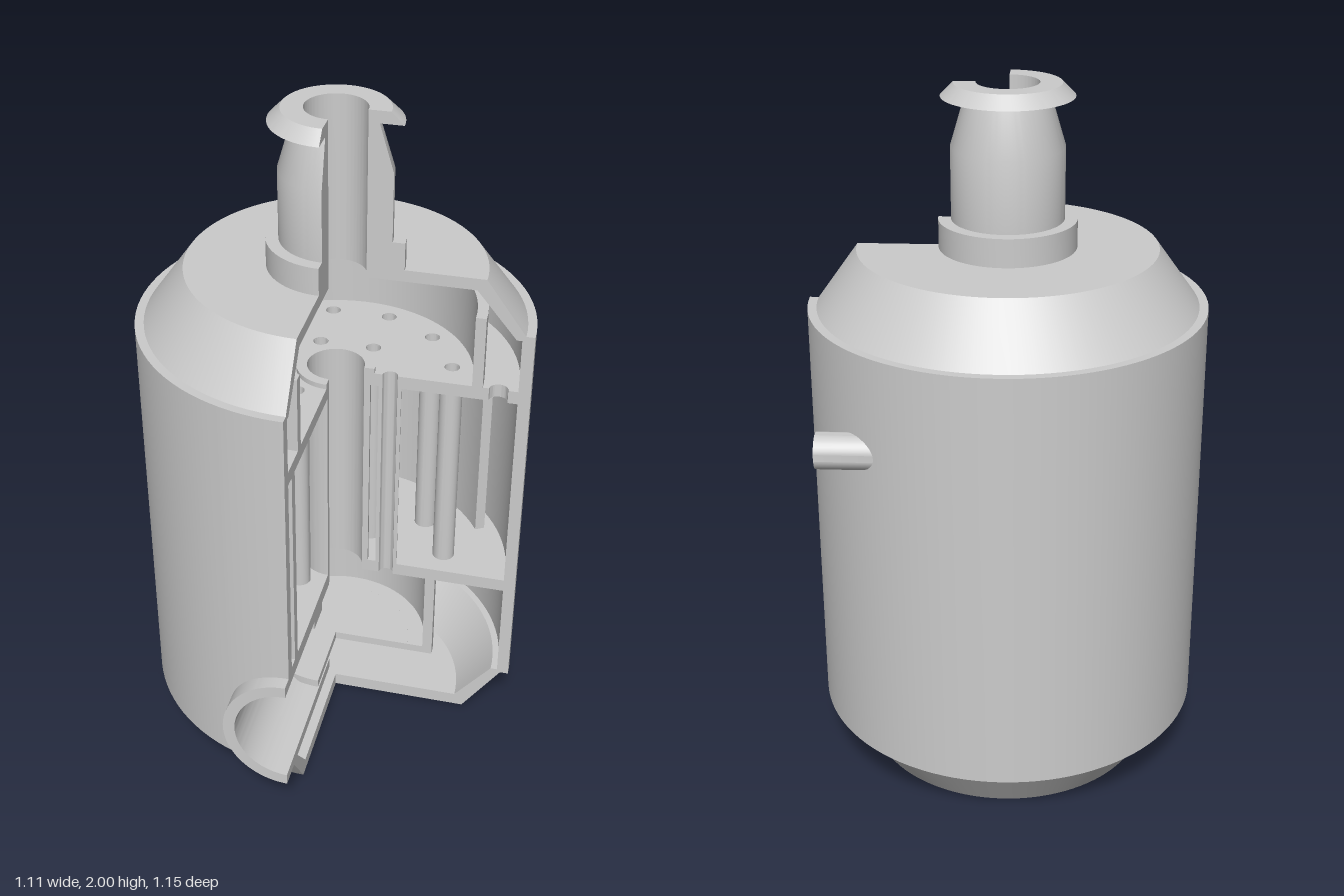
import * as THREE from 'three';
import { mergeGeometries, toCreasedNormals } from 'three/addons/utils/BufferGeometryUtils.js';

const PI = Math.PI;
const material = new THREE.MeshStandardMaterial({ color: 0xcccccc, side: THREE.DoubleSide });

// Revolved solid from a closed counter-clockwise [radius, y] section, with flat cut faces.
// The default sweep leaves the front left quarter (+x, +z) open.
function revolve(section, from = PI / 2, to = 2 * PI, segments = 72) {
  const pts = section.map(([r, y]) => new THREE.Vector2(r, y));
  const body = new THREE.LatheGeometry([...pts, pts[0].clone()], segments, from, to - from);
  const parts = [toCreasedNormals(body, 0.4)];
  if (to - from < 2 * PI - 0.001) {
    const start = new THREE.ShapeGeometry(new THREE.Shape(pts));
    const mirrored = pts.map((p) => new THREE.Vector2(-p.x, p.y));
    const end = new THREE.ShapeGeometry(new THREE.Shape(mirrored));
    parts.push(start.rotateY(from - PI / 2).toNonIndexed(), end.rotateY(to - 1.5 * PI).toNonIndexed());
  }
  return mergeGeometries(parts);
}

const ring = (r0, r1, y0, y1) => [[r0, y0], [r1, y0], [r1, y1], [r0, y1]];

// Fire tube positions: angle 0 is +x, turning towards -z
const INNER_R = 0.157, OUTER_R = 0.33, TUBE_R = 0.033, BORE_R = 0.022;
const tubes = [];
for (let i = 1; i < 5; i++) tubes.push([INNER_R, (i * PI) / 3]);
for (let i = 0; i < 9; i++) tubes.push([OUTER_R, PI / 12 + (i * PI) / 6]);

// Three-quarter tube plate, bored for the tubes; notches on the cut edge are half bores
function tubePlate(y, thickness, notches) {
  const s = new THREE.Shape();
  s.moveTo(0.09, 0);
  for (const [r, h] of notches) {
    s.lineTo(r - h, 0);
    s.absarc(r, 0, h, PI, 0, true);
  }
  s.lineTo(0.522, 0);
  s.absarc(0, 0, 0.522, 0, 1.5 * PI, false);
  s.lineTo(0, -0.09);
  s.absarc(0, 0, 0.09, 1.5 * PI, 0, true);
  for (const [r, a] of tubes) {
    const hole = new THREE.Path();
    hole.absarc(r * Math.cos(a), r * Math.sin(a), BORE_R, 0, 2 * PI, true);
    s.holes.push(hole);
  }
  const g = new THREE.ExtrudeGeometry(s, { depth: thickness, bevelEnabled: false, curveSegments: 32 });
  return toCreasedNormals(g.rotateX(-PI / 2).translate(0, y, 0), 0.4);
}

export function createModel() {
  const model = new THREE.Group();
  const boiler = new THREE.Group();
  boiler.name = 'cutawayBoiler';
  boiler.position.z = -0.02;
  model.add(boiler);

  const add = (name, geometry, x = 0, y = 0, z = 0) => {
    const mesh = new THREE.Mesh(geometry, material);
    mesh.name = name;
    mesh.position.set(x, y, z);
    boiler.add(mesh);
    return mesh;
  };

  // Top cap with the chimney neck and collar
  add('topCapAndChimney', revolve([
    [0.085, 1.515], [0.39, 1.515], [0.505, 1.375], [0.525, 1.375], [0.53, 1.39],
    [0.415, 1.55], [0.19, 1.55], [0.19, 1.63], [0.155, 1.63], [0.155, 1.83],
    [0.115, 1.965], [0.18, 1.965], [0.145, 2], [0.085, 2],
  ]));

  // Bottom cap
  add('bottomCap', revolve([
    [0, 0], [0.415, 0], [0.53, 0.165], [0.53, 0.175], [0.5, 0.175], [0.39, 0.04], [0, 0.04],
  ]));

  // Outer shell, with a half round opening for the burner pipe beside the cut
  const PIPE_Y = 0.335, HOLE_R = 0.175;
  const opening = Math.asin(HOLE_R / 0.555);
  add('shell', revolve(ring(0.52, 0.555, 0.165, 1.39), PI / 2, 2 * PI - opening));
  for (const [y0, y1, side] of [[PIPE_Y, 1.39, 1], [0.16, PIPE_Y, -1]]) {
    const g = revolve(ring(0.52, 0.555, y0, y1), 2 * PI - opening, 2 * PI, 20);
    const p = g.attributes.position;
    for (let i = 0; i < p.count; i++) {
      if (Math.abs(p.getY(i) - PIPE_Y) > 0.01) continue;
      const x = p.getX(i);
      p.setY(i, PIPE_Y + side * Math.sqrt(Math.max(0, HOLE_R ** 2 - x * x)));
    }
    add(side > 0 ? 'shellAboveBurner' : 'shellBelowBurner', g);
  }

  // Burner pipe, halved by the cut
  const half = new THREE.Shape();
  half.absarc(0, 0, 0.188, PI / 2, 1.5 * PI, false);
  half.lineTo(0, -0.153);
  half.absarc(0, 0, 0.153, 1.5 * PI, PI / 2, true);
  const pipe = new THREE.ExtrudeGeometry(half, { depth: 0.51, bevelEnabled: false, curveSegments: 32 });
  add('burnerPipe', toCreasedNormals(pipe, 0.4), 0, PIPE_Y, 0.085);
  add('burnerStub', revolve(ring(0, 0.045, 0.46, 0.5), PI, 2 * PI, 16), 0, 0, 0.22);

  // Combustion drum, open where the burner pipe enters
  const drumEnd = 2 * PI - 0.54;
  add('drumFloor', revolve(ring(0, 0.23, 0.195, 0.22)));
  add('drumFloorRim', revolve(ring(0.23, 0.31, 0.195, 0.22), PI / 2, drumEnd));
  add('drumWall', revolve(ring(0.28, 0.31, 0.22, 0.5), PI / 2, drumEnd));

  // Tube plates, central flue and the smoke chamber wall
  add('lowerTubePlate', tubePlate(0.495, 0.04, [[INNER_R, BORE_R]]));
  add('upperTubePlate', tubePlate(1.17, 0.04, [[INNER_R, BORE_R], [0.465, 0.027]]));
  add('centralFlue', revolve([
    [0.082, 0.495], [0.1, 0.495], [0.1, 1.208], [0.112, 1.208], [0.112, 1.225], [0.082, 1.225],
  ]));
  add('smokeChamberWall', revolve(ring(0.39, 0.42, 1.205, 1.43)));

  // Fire tubes between the plates, plus the one halved by the cut
  const tubeGeometry = revolve(ring(BORE_R, TUBE_R, 0.5, 1.205), 0, 2 * PI, 24);
  for (const [r, a] of tubes) add('fireTube', tubeGeometry, r * Math.cos(a), 0, -r * Math.sin(a));
  add('halvedFireTube', revolve(ring(BORE_R, TUBE_R, 0.495, 1.21), PI / 2, 1.5 * PI, 16), INNER_R);

  // Water baffle inside the shell
  add('waterBaffle', revolve(ring(0.455, 0.485, 0.535, 1.17), (2 * PI) / 3, 2 * PI));

  // Side water connection
  const port = add('waterPort', revolve(ring(0.037, 0.05, 0, 0.22), 0, 2 * PI, 32), 0.27, 1.105, -0.395);
  port.rotation.z = -PI / 2;

  return model;
}
